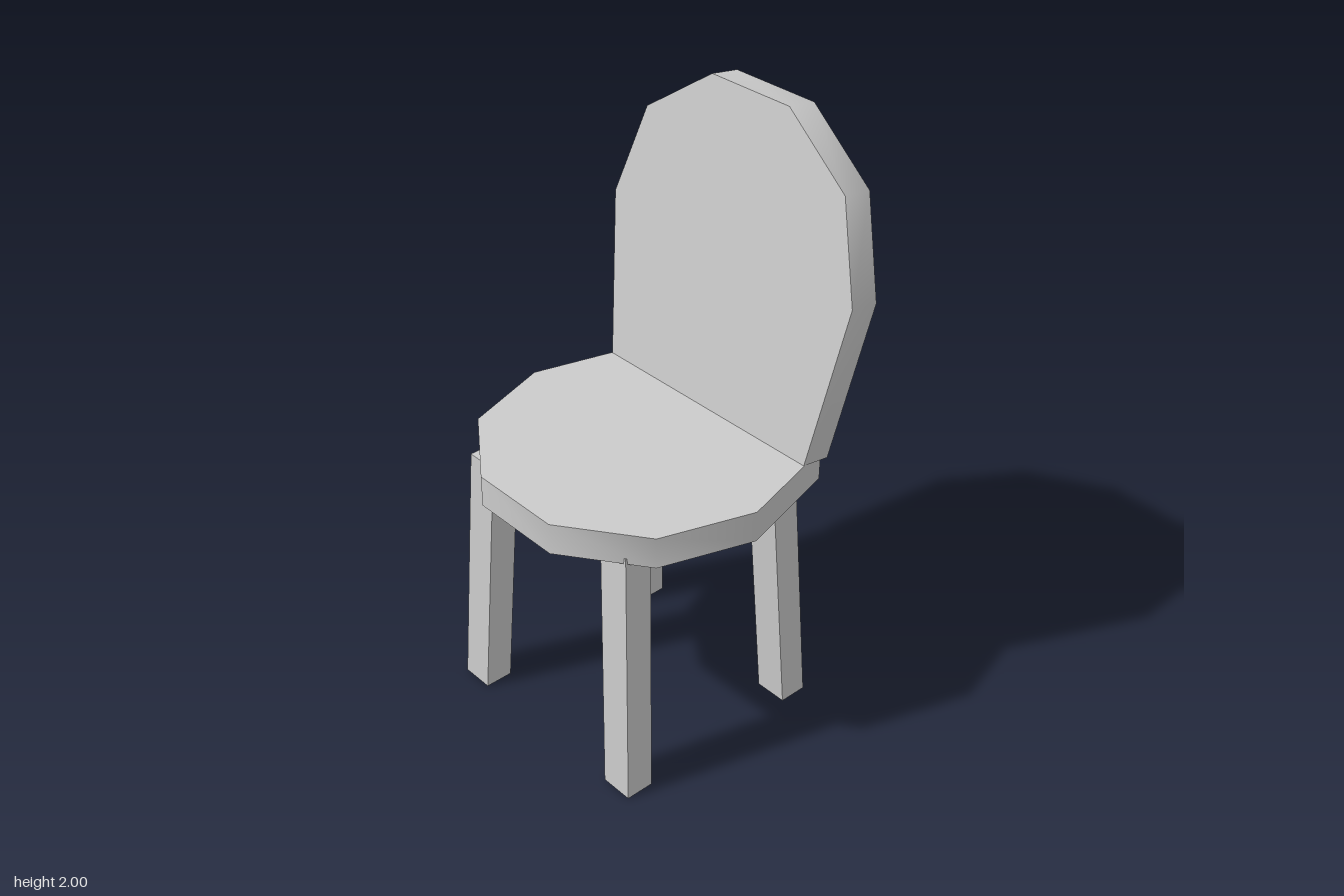
import * as THREE from 'three';
import { toCreasedNormals } from 'three/addons/utils/BufferGeometryUtils.js';

const material = new THREE.MeshStandardMaterial({ color: 0xcccccc, side: THREE.DoubleSide });

// Slab with a mirrored outline: half holds [x, y] points from one end to the other
function slab(name, half, depth) {
  const right = half.map(([x, y]) => new THREE.Vector2(x, y));
  const left = half.map(([x, y]) => new THREE.Vector2(-x, y)).reverse();
  const shape = new THREE.Shape([...right, ...left]);
  const geometry = new THREE.ExtrudeGeometry(shape, { depth, bevelEnabled: false });
  geometry.translate(0, 0, -depth);
  const mesh = new THREE.Mesh(toCreasedNormals(geometry, 1.0), material);
  mesh.name = name;
  return mesh;
}

// Square leg, open at the foot, leaning from its top centre to its bottom centre
function leg(name, top, bottom) {
  const height = 0.89;
  const geometry = new THREE.BoxGeometry(0.112, height, 0.097);
  geometry.translate(0, height / 2, 0);
  const index = Array.from(geometry.index.array);
  index.splice(18, 6); // leave out the underside
  geometry.setIndex(index);
  geometry.clearGroups();
  const p = geometry.attributes.position;
  for (let i = 0; i < p.count; i++) {
    const t = p.getY(i) / height;
    p.setX(i, p.getX(i) + THREE.MathUtils.lerp(bottom[0], top[0], t));
    p.setZ(i, p.getZ(i) + THREE.MathUtils.lerp(bottom[1], top[1], t));
  }
  geometry.computeVertexNormals();
  const mesh = new THREE.Mesh(geometry, material);
  mesh.name = name;
  return mesh;
}

export function createModel() {
  const chair = new THREE.Group();
  chair.name = 'chair';

  // Seat: faceted front, straight cut at the rear
  const seat = slab('seat', [[0.16, -0.51], [0.417, -0.325], [0.515, -0.02], [0.415, 0.35]], 0.105);
  seat.rotation.x = -Math.PI / 2;
  seat.position.y = 0.975;
  chair.add(seat);

  // Backrest: the same kind of outline, leaning backwards
  const backrest = slab('backrest', [[0.44, 0], [0.515, 0.545], [0.417, 0.857], [0.16, 1.037]], 0.104);
  backrest.rotation.x = -0.155;
  backrest.position.set(0, 0.975, -0.25);
  chair.add(backrest);

  // Splayed legs
  for (const [sideName, topX, bottomX] of [['Left', 0.291, 0.339], ['Right', -0.323, -0.368]]) {
    const shift = sideName === 'Left' ? -0.006 : 0;
    chair.add(leg('front' + sideName + 'Leg', [topX, 0.338 + shift], [bottomX, 0.376 + shift]));
    chair.add(leg('back' + sideName + 'Leg', [topX, -0.273 - shift], [bottomX, -0.316 - shift]));
  }
  return chair;
}
